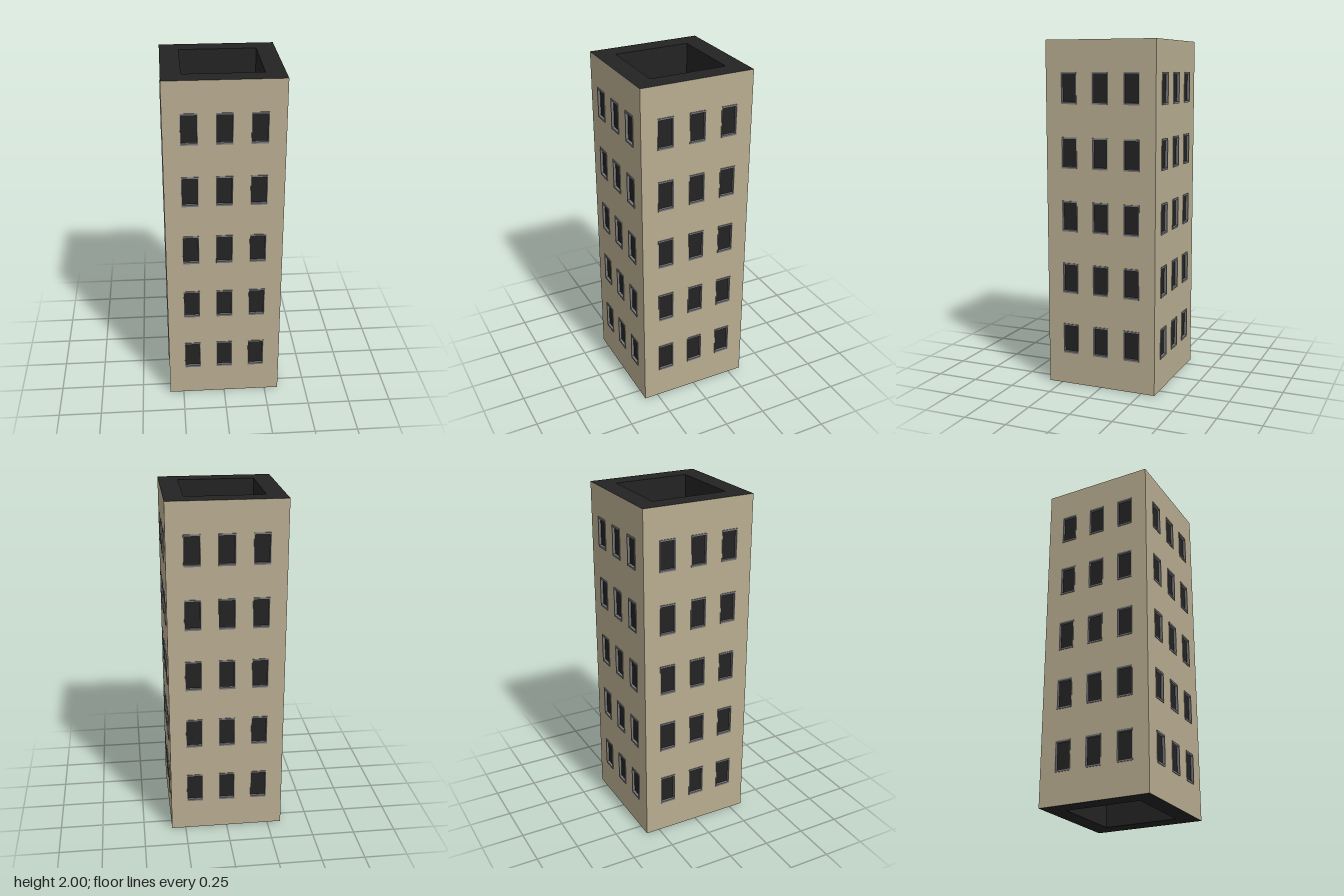
import * as THREE from 'three';

const HALF = 0.332, INNER = 0.222, HEIGHT = 2;
const FRAME_W = 0.094, FRAME_H = 0.178, OPEN_W = 0.084, OPEN_H = 0.156;
const FRAME_OUT = 0.336, PANE = 0.32;
const COLUMNS = [-0.19, 0, 0.19];
const ROWS = [0, 1, 2, 3, 4].map(i => 0.275 + i * 0.3643);

// Counter-clockwise rectangle centred on (x, y)
function rect(x, y, w, h, Type = THREE.Shape) {
  const p = new Type();
  p.moveTo(x - w / 2, y - h / 2);
  p.lineTo(x + w / 2, y - h / 2);
  p.lineTo(x + w / 2, y + h / 2);
  p.lineTo(x - w / 2, y + h / 2);
  p.closePath();
  return p;
}

export function createModel() {
  const material = color => new THREE.MeshStandardMaterial({ color });
  const stone = material(0xb9ad91);
  const dark = material(0x232323);
  const grey = material(0x77777a);
  const model = new THREE.Group();
  model.name = 'towerBlock';

  const add = (parent, name, geometry, mat) => {
    const mesh = new THREE.Mesh(geometry, mat);
    mesh.name = name;
    parent.add(mesh);
    return mesh;
  };

  // Facade sheet with window openings
  const wallShape = rect(0, HEIGHT / 2, HALF * 2, HEIGHT);
  for (const y of ROWS) for (const x of COLUMNS) {
    wallShape.holes.push(rect(x, y, FRAME_W, FRAME_H, THREE.Path));
  }
  const wallGeo = new THREE.ShapeGeometry(wallShape);

  // Window frame and recessed pane
  const frameShape = rect(0, 0, FRAME_W, FRAME_H);
  frameShape.holes.push(rect(0, 0, OPEN_W, OPEN_H, THREE.Path));
  const frameGeo = new THREE.ExtrudeGeometry(frameShape, {
    depth: FRAME_OUT - PANE, bevelEnabled: false,
  });
  const paneGeo = new THREE.PlaneGeometry(FRAME_W, FRAME_H);

  // Four identical sides
  ['front', 'right', 'back', 'left'].forEach((side, i) => {
    const group = new THREE.Group();
    group.name = side + 'Side';
    group.rotation.y = -i * Math.PI / 2;
    add(group, 'wall', wallGeo, stone).position.z = HALF;
    for (const y of ROWS) for (const x of COLUMNS) {
      const windowGroup = new THREE.Group();
      windowGroup.name = 'window';
      windowGroup.position.set(x, y, PANE);
      add(windowGroup, 'windowFrame', frameGeo, grey);
      add(windowGroup, 'windowPane', paneGeo, dark).position.z = 0.001;
      group.add(windowGroup);
    }
    // Wall of the open shaft, facing inward
    const inside = add(group, 'shaftWall', new THREE.PlaneGeometry(INNER * 2, HEIGHT), dark);
    inside.position.set(0, HEIGHT / 2, INNER);
    inside.rotation.y = Math.PI;
    model.add(group);
  });

  // Flat rims closing the wall thickness at the top and bottom
  const rimShape = rect(0, 0, HALF * 2, HALF * 2);
  rimShape.holes.push(rect(0, 0, INNER * 2, INNER * 2, THREE.Path));
  const rimGeo = new THREE.ShapeGeometry(rimShape);
  const topRim = add(model, 'topRim', rimGeo, dark);
  topRim.rotation.x = -Math.PI / 2;
  topRim.position.y = HEIGHT;
  add(model, 'bottomRim', rimGeo, dark).rotation.x = Math.PI / 2;

  return model;
}
